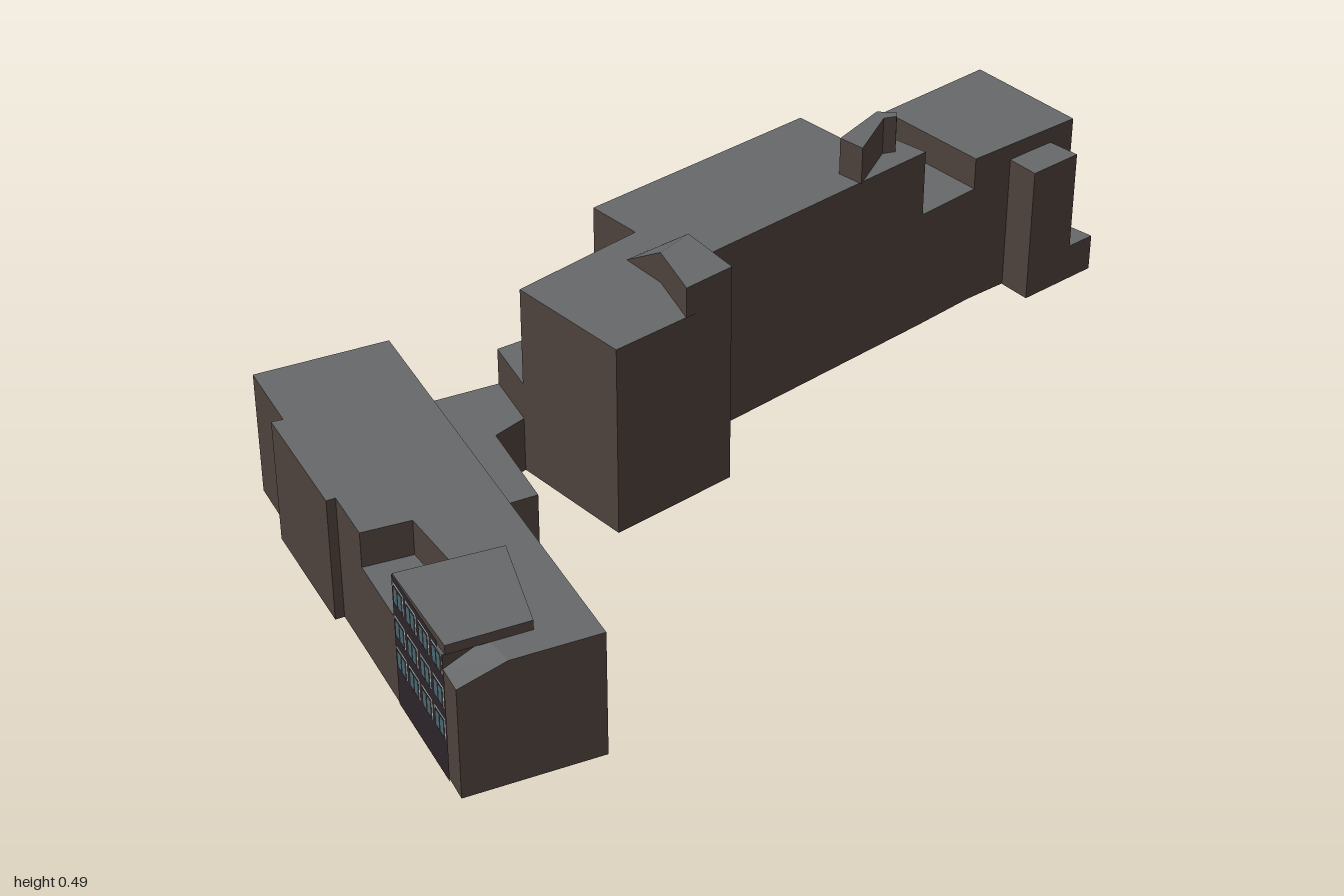
import * as THREE from 'three';

const material = (color) => new THREE.MeshStandardMaterial({ color, side: THREE.DoubleSide, flatShading: true });
const wallMat = material(0x4d413c);
const roofMat = material(0x66686a);
const panelMat = material(0x2c2428);
const frameMat = material(0x2a2624);
const glassMat = material(0x4a6670);
const trimMat = material(0x9fb0b4);
const paleMat = material(0xb5b0a6);

function mesh(name, positions, mat) {
  const g = new THREE.BufferGeometry();
  g.setAttribute('position', new THREE.Float32BufferAttribute(positions, 3));
  g.computeVertexNormals();
  const m = new THREE.Mesh(g, mat);
  m.name = name;
  return m;
}

// Open-bottomed volume over a footprint of [x, z] corners.
// top: one height or one per corner; starts: edge index -> wall base height, null leaves the wall out
function volume(name, pts, top, starts = {}, base = 0) {
  const group = new THREE.Group();
  group.name = name;
  const h = (i) => (Array.isArray(top) ? top[i] : top);
  const walls = [];
  const roof = [];
  pts.forEach((p, i) => {
    const j = (i + 1) % pts.length;
    const q = pts[j];
    const y = starts[i] === undefined ? base : starts[i];
    if (y === null) return;
    const a = [q[0], y, q[1]], b = [p[0], y, p[1]];
    const c = [p[0], h(i), p[1]], d = [q[0], h(j), q[1]];
    walls.push(...a, ...b, ...c, ...a, ...c, ...d);
  });
  const flat = pts.map(([x, z]) => new THREE.Vector2(x, z));
  for (const tri of THREE.ShapeUtils.triangulateShape(flat, [])) {
    const [a, b, c] = tri.map((i) => flat[i]);
    const up = (b.x - a.x) * (c.y - a.y) - (b.y - a.y) * (c.x - a.x) < 0;
    for (const i of up ? tri : [...tri].reverse()) roof.push(pts[i][0], h(i), pts[i][1]);
  }
  group.add(mesh(name + 'Walls', walls, wallMat), mesh(name + 'Roof', roof, roofMat));
  return group;
}

// Frame lying on a wall: local x runs from p to q, local z points outward
function facade(name, p, q) {
  const group = new THREE.Group();
  group.name = name;
  const dx = q[0] - p[0], dz = q[1] - p[1];
  group.position.set(p[0], 0, p[1]);
  group.rotation.y = Math.atan2(-dz, dx);
  group.userData.length = Math.hypot(dx, dz);
  return group;
}

function plate(parent, name, x, y, w, h, out, mat) {
  const m = new THREE.Mesh(new THREE.PlaneGeometry(w, h), mat);
  m.name = name;
  m.position.set(x, y, out);
  parent.add(m);
}

// Rows of framed two-pane windows
function windows(parent, rows, count, w, h) {
  const pitch = parent.userData.length / count;
  for (const y of rows) {
    for (let i = 0; i < count; i++) {
      const x = (i + 0.5) * pitch;
      plate(parent, 'windowTrim', x, y, w, h, 0.002, trimMat);
      plate(parent, 'windowFrame', x + w * 0.04, y, w * 0.9, h * 0.94, 0.003, frameMat);
      for (const s of [-1, 1]) plate(parent, 'windowPane', x + s * w * 0.21, y, w * 0.34, h * 0.8, 0.004, glassMat);
    }
  }
}

export function createModel() {
  const model = new THREE.Group();
  model.name = 'building';
  const add = (...args) => model.add(volume(...args));

  // Long wing: end block, lower middle block and tall block
  add('endBlock', [[0.53, -1], [0.725, -0.81], [0.53, -0.626], [0.34, -0.8]], 0.335, { 2: 0.265 });
  add('middleBlock', [[0.34, -0.8], [0.53, -0.626], [0.43, -0.515], [0.317, -0.594], [0.275, -0.54], [0.175, -0.626]],
    0.265, { 0: null, 2: null, 3: null, 4: null });
  add('tallBlock', [[0.175, -0.626], [0.275, -0.54], [0.317, -0.594], [0.43, -0.515], [0.005, -0.06], [0.095, 0.045],
    [-0.095, 0.24], [-0.295, 0.06], [-0.106, -0.16], [-0.196, -0.24]], 0.41, { 0: 0.265, 1: 0.265, 2: 0.265, 7: 0.2 });

  // Stair tower and low plinth on the end block
  add('sideTower', [[0.68, -0.77], [0.735, -0.725], [0.65, -0.64], [0.6, -0.69]], 0.3, { 3: null });
  add('lowPlinth', [[0.725, -0.81], [0.78, -0.77], [0.735, -0.725], [0.68, -0.77]], 0.08, { 2: null, 3: null });

  // Roof structures on the tall block
  add('roofTower', [[-0.04, 0.01], [0.005, -0.06], [0.095, 0.045], [0.02, 0.125]], 0.475, { 0: null }, 0.41);
  add('roofRamp', [[-0.11, -0.06], [-0.06, -0.11], [0.005, -0.06], [-0.04, 0.01]],
    [0.411, 0.411, 0.475, 0.475], { 2: null }, 0.41);
  add('chimney', [[0.265, -0.414], [0.33, -0.525], [0.37, -0.525], [0.37, -0.51], [0.345, -0.5], [0.31, -0.38]],
    0.49, {}, 0.41);

  // Link between the wings
  add('upperLink', [[-0.196, -0.24], [-0.106, -0.16], [-0.295, 0.06], [-0.36, -0.05], [-0.16, -0.21]],
    0.2, { 0: null, 1: null, 2: 0.12 });
  add('lowerLink', [[-0.36, -0.05], [-0.295, 0.06], [-0.34, 0.12], [-0.235, 0.297], [-0.31, 0.345], [-0.13, 0.635],
    [-0.17, 0.655], [-0.54, 0.06]], 0.12, { 0: null, 6: null });
  add('backPorch', [[-0.365, -0.165], [-0.265, -0.228], [-0.22, -0.16], [-0.32, -0.08]], 0.12, { 2: null });

  // Short wing with terrace, raised roof and chamfered corner
  add('shortWing', [[-0.78, 0.175], [-0.55, 0.037], [-0.04, 0.855], [-0.19, 0.943], [-0.235, 0.89], [-0.3, 0.94],
    [-0.414, 0.76], [-0.325, 0.695], [-0.41, 0.585], [-0.495, 0.63], [-0.555, 0.535], [-0.57, 0.545],
    [-0.715, 0.32], [-0.695, 0.31]], 0.265, { 3: null, 4: 0.235, 6: 0.19, 7: 0.19, 8: 0.19 });
  add('terrace', [[-0.495, 0.63], [-0.41, 0.585], [-0.325, 0.695], [-0.414, 0.76]], 0.19, { 0: null, 1: null, 2: null });
  add('raisedRoof', [[-0.414, 0.76], [-0.235, 0.665], [-0.16, 0.86], [-0.295, 0.94]], 0.285, {}, 0.265);
  add('chamferedCorner', [[-0.3, 0.94], [-0.235, 0.89], [-0.19, 0.943], [-0.27, 0.99]],
    [0.235, 0.265, 0.265, 0.235], { 0: null, 1: null });

  // Back facades of the long wing; p to q runs so that outward is away from the wing
  const tall = facade('tallFacade', [0.175, -0.626], [-0.196, -0.24]);
  windows(tall, [0.355, 0.285, 0.21, 0.14], 12, 0.032, 0.046);
  const length = tall.userData.length;
  plate(tall, 'groundFloorPanel', length / 2, 0.05, length, 0.09, 0.002, panelMat);
  plate(tall, 'canopyEdge', length / 2, 0.093, length, 0.012, 0.004, paleMat);
  for (let i = 0; i < 10; i++) plate(tall, 'shopfront', ((i + 0.5) * length) / 10, 0.046, 0.042, 0.06, 0.004, paleMat);

  const middle = facade('middleFacade', [0.34, -0.8], [0.175, -0.626]);
  windows(middle, [0.21, 0.13], 5, 0.03, 0.045);
  const end = facade('endFacade', [0.53, -1], [0.34, -0.8]);
  windows(end, [0.285, 0.21, 0.13], 6, 0.03, 0.045);

  // Window bay on the outer side of the short wing
  const bay = facade('bayFacade', [-0.414, 0.76], [-0.295, 0.95]);
  plate(bay, 'bayPanel', 0.112, 0.1175, 0.224, 0.235, 0.0015, panelMat);
  plate(bay, 'bayPanelTop', 0.1, 0.255, 0.2, 0.06, 0.0015, panelMat);
  windows(bay, [0.25, 0.178, 0.11], 4, 0.045, 0.044);

  model.add(tall, middle, end, bay);
  return model;
}
